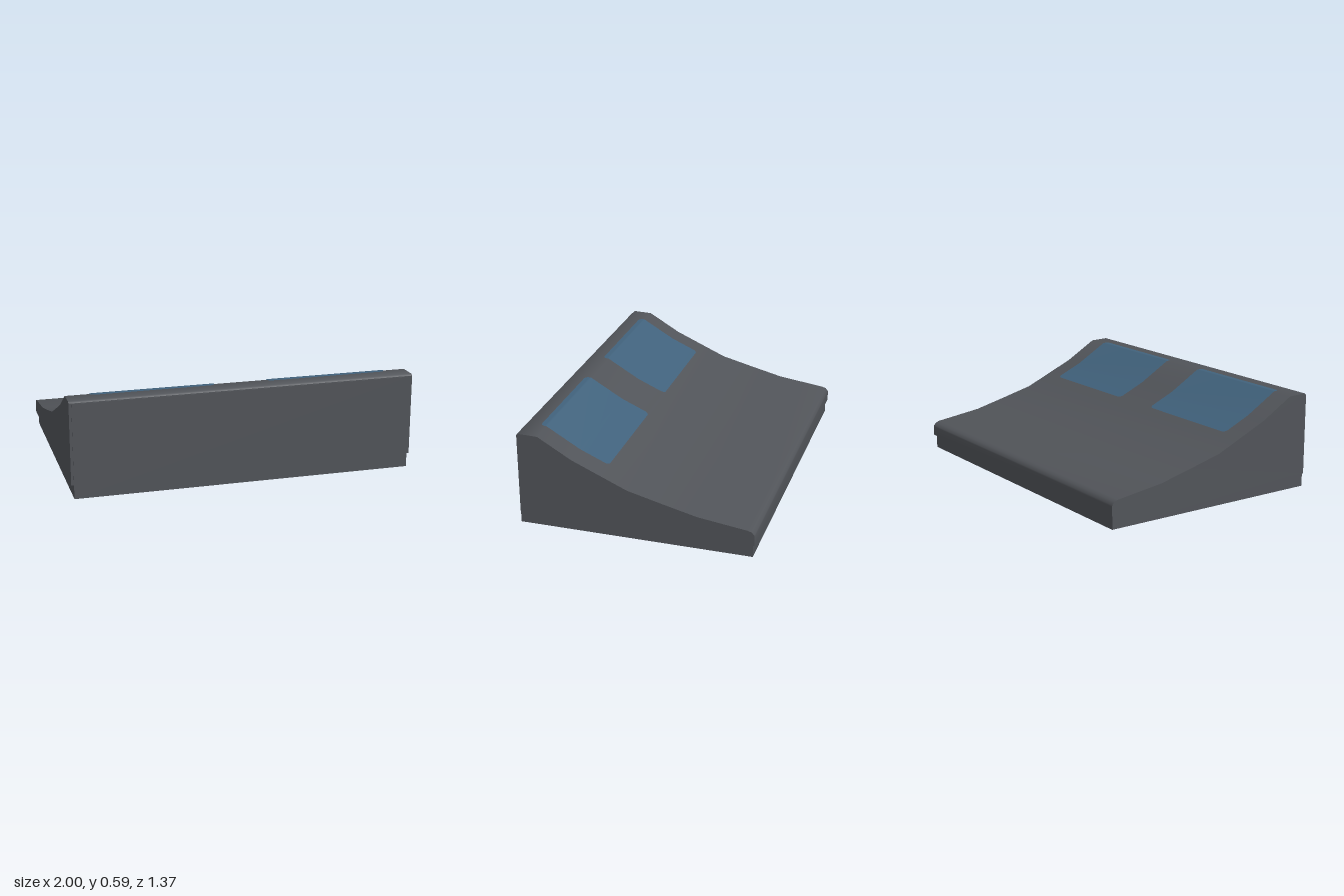
import * as THREE from 'three';
import { toCreasedNormals } from 'three/addons/utils/BufferGeometryUtils.js';

const shellMat = new THREE.MeshStandardMaterial({ color: 0x515459 });
shellMat.name = 'dark grey shell';
const screenMat = new THREE.MeshStandardMaterial({ color: 0x41627c });
screenMat.name = 'blue screen';

// Curved top of the console as [z, y], front to back
const TOP = [[0.679, 0.578], [0.668, 0.587], [0.555, 0.584], [0.36, 0.47], [0.2, 0.4], [0.04, 0.33],
  [-0.16, 0.279], [-0.36, 0.23], [-0.645, 0.192], [-0.668, 0.184], [-0.682, 0.168]];

function topHeight(z) {
  for (let i = 0; i < TOP.length - 1; i++) {
    const [z0, y0] = TOP[i], [z1, y1] = TOP[i + 1];
    if (z <= z0 && z >= z1) return y0 + (y1 - y0) * (z0 - z) / (z0 - z1);
  }
  return 0;
}

function add(group, name, geometry, material, x = 0, y = 0, z = 0) {
  const mesh = new THREE.Mesh(geometry, material);
  mesh.name = name;
  mesh.position.set(x, y, z);
  group.add(mesh);
  return mesh;
}

// Rounded screen that follows the curved top
function screenGeometry(zFront, zBack, halfWidth, r) {
  const rows = [];
  for (let i = 0; i <= 4; i++) {
    const d = r * (1 - Math.cos(i * Math.PI / 8));
    rows.push(zFront - d, zBack + d);
  }
  for (const [z] of TOP) if (z < zFront - r && z > zBack + r) rows.push(z);
  rows.sort((a, b) => b - a);
  const pos = [], index = [];
  rows.forEach((z, i) => {
    const d = Math.min(zFront - z, z - zBack, r);
    const w = halfWidth - r + Math.sqrt(Math.max(0, r * r - (r - d) ** 2));
    const y = topHeight(z) + 0.004;
    pos.push(-w, y, z, w, y, z);
    if (i) {
      const a = 2 * i - 2;
      index.push(a, a + 1, a + 3, a, a + 3, a + 2);
    }
  });
  const g = new THREE.BufferGeometry();
  g.setAttribute('position', new THREE.Float32BufferAttribute(pos, 3));
  g.setIndex(index);
  g.computeVertexNormals();
  return g;
}

export function createModel() {
  const model = new THREE.Group();
  model.name = 'slopedConsole';

  // Upper shell: side profile extruded across the width
  const profile = new THREE.Shape();
  profile.moveTo(0.679, 0.105);
  for (const [z, y] of TOP) profile.lineTo(z, y);
  profile.lineTo(-0.684, 0.16);
  profile.lineTo(-0.684, 0.105);
  profile.closePath();
  const shell = new THREE.ExtrudeGeometry(profile, { depth: 2, bevelEnabled: false });
  shell.translate(0, 0, -1);
  shell.rotateY(-Math.PI / 2);
  // profile x becomes z, depth becomes -x
  add(model, 'upperShell', toCreasedNormals(shell, 0.75), shellMat);

  // Base tray and front panel, slightly narrower than the shell
  add(model, 'baseTray', new THREE.BoxGeometry(1.97, 0.08, 1.35), shellMat, 0, 0.065, 0.003);
  add(model, 'frontPanel', new THREE.BoxGeometry(1.97, 0.55, 0.012), shellMat, 0, 0.3, 0.678);

  // Two screens and four tapered feet
  for (const side of [-1, 1]) {
    const label = side > 0 ? 'left' : 'right';
    add(model, label + 'Screen', screenGeometry(0.59, 0.19, 0.355, 0.025), screenMat, side * 0.51);
    for (const end of [-1, 1]) {
      add(model, label + (end > 0 ? 'FrontFoot' : 'BackFoot'),
        new THREE.CylinderGeometry(0.023, 0.016, 0.026, 20), shellMat, side * 0.868, 0.013, end * 0.598);
    }
  }
  return model;
}
